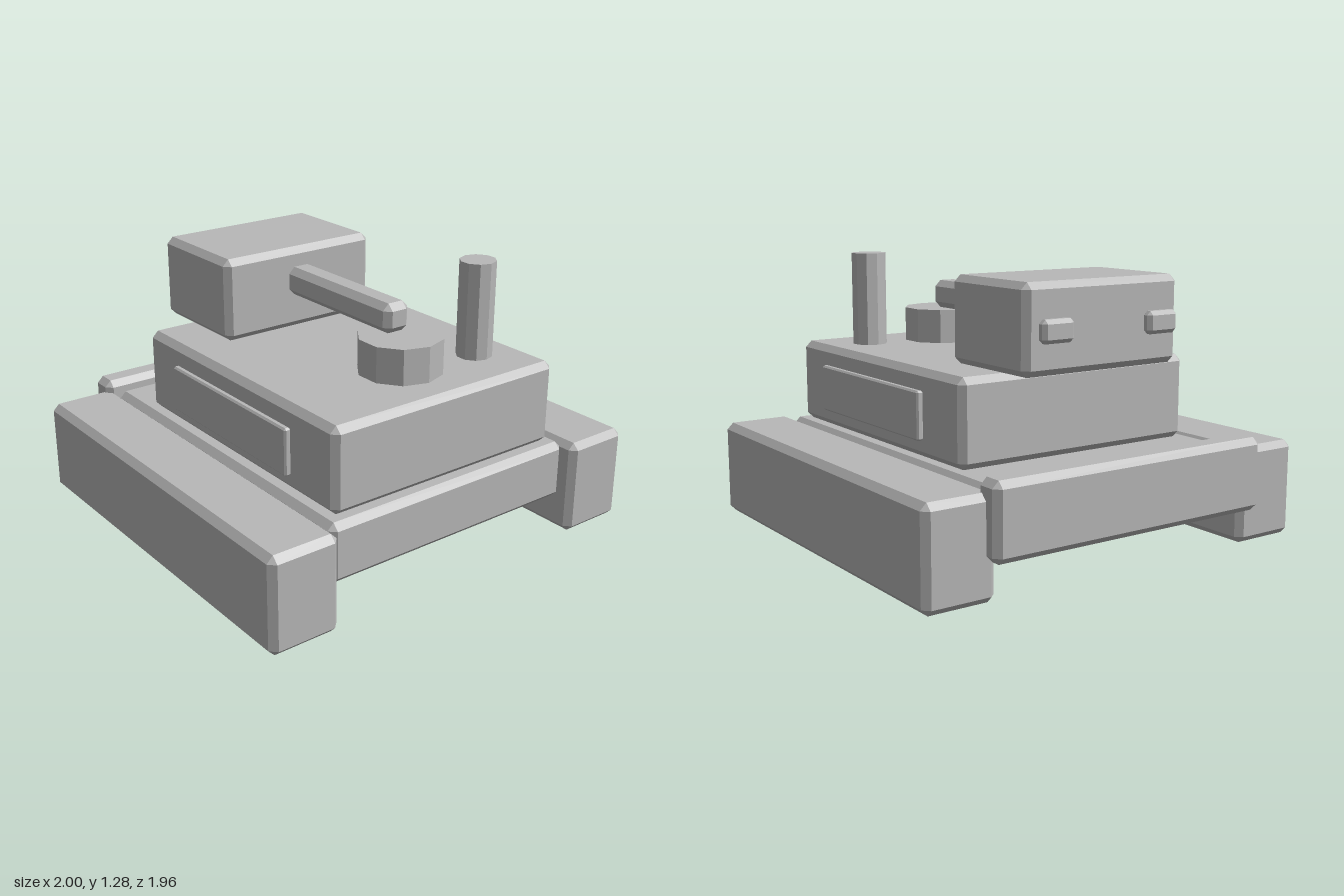
import * as THREE from 'three';
import { ConvexGeometry } from 'three/addons/geometries/ConvexGeometry.js';

const grey = new THREE.MeshStandardMaterial({ color: 0xb8b8b8 });
grey.name = 'plain grey';

// Box given by its limits, with every edge cut by a flat chamfer
function chamferBox(name, [x0, x1], [y0, y1], [z0, z1], bevel = 0.03) {
  const half = [(x1 - x0) / 2, (y1 - y0) / 2, (z1 - z0) / 2];
  const points = [];
  for (const sx of [-1, 1]) for (const sy of [-1, 1]) for (const sz of [-1, 1]) {
    for (let face = 0; face < 3; face++) {
      const [x, y, z] = half.map((h, axis) => (axis === face ? h : h - bevel));
      points.push(new THREE.Vector3(sx * x, sy * y, sz * z));
    }
  }
  const mesh = new THREE.Mesh(new ConvexGeometry(points), grey);
  mesh.position.set((x0 + x1) / 2, (y0 + y1) / 2, (z0 + z1) / 2);
  mesh.name = name;
  return mesh;
}

// Ten-sided upright post with flat faces
function post(name, radius, y0, y1, x, z) {
  const geometry = new THREE.CylinderGeometry(radius, radius, y1 - y0, 10).toNonIndexed();
  geometry.computeVertexNormals();
  const mesh = new THREE.Mesh(geometry, grey);
  mesh.position.set(x, (y0 + y1) / 2, z);
  mesh.name = name;
  return mesh;
}

export function createModel() {
  const model = new THREE.Group();
  model.name = 'trackedVehicle';

  // Lower body
  model.add(
    chamferBox('hull', [-0.665, 0.665], [0.175, 0.45], [-0.85, 0.92]),
    chamferBox('rearBumper', [-0.72, 0.72], [0.17, 0.505], [-0.98, -0.84]),
    chamferBox('upperBody', [-0.615, 0.615], [0.45, 0.84], [-0.575, 0.87])
  );

  // Mirrored tracks, side panels and rear lugs
  for (const [side, s] of [['left', 1], ['right', -1]]) {
    const span = (a, b) => (s > 0 ? [a, b] : [-b, -a]);
    model.add(
      chamferBox(side + 'Track', span(0.665, 1), [0, 0.447], [-0.91, 0.98]),
      chamferBox(side + 'SidePanel', span(0.623, 0.655), [0.535, 0.752], [-0.295, 0.59], 0.008),
      chamferBox(side + 'RearLug', span(0.198, 0.362), [0.982, 1.082], [-0.8, -0.745], 0.018)
    );
  }

  // Head block with its forward arm
  model.add(
    chamferBox('headBlock', [-0.415, 0.415], [0.84, 1.23], [-0.742, -0.192]),
    chamferBox('arm', [-0.068, 0.068], [1.005, 1.14], [-0.3, 0.525])
  );

  // Hatch and stack on the deck
  model.add(
    post('hatch', 0.192, 0.83, 1.003, 0, 0.535),
    post('stack', 0.083, 0.83, 1.283, 0.388, 0.592)
  );

  return model;
}
